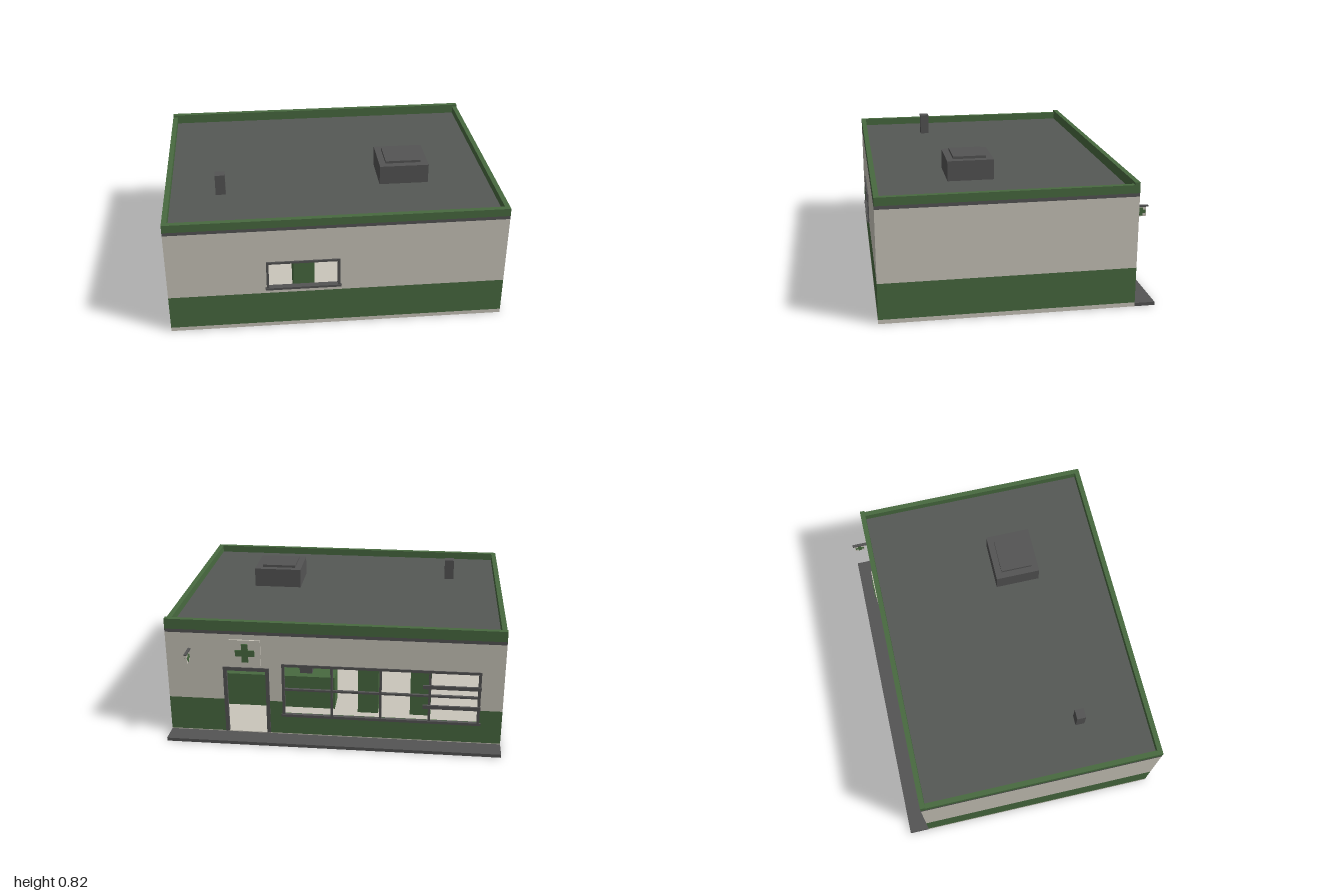
import * as THREE from 'three';

const mat = (name, hex) => {
  const m = new THREE.MeshStandardMaterial({ color: hex });
  m.name = name;
  return m;
};

export function createModel() {
  const cream = mat('cream plaster', 0xc9c5ba);
  const green = mat('green paint', 0x486a40);
  const dark = mat('dark trim', 0x545454);
  const roofGrey = mat('roof grey', 0x555855);

  const model = new THREE.Group();
  model.name = 'shopBuilding';

  // Box given by its limits along each axis
  function box(name, material, x0, x1, y0, y1, z0, z1, parent = model) {
    const mesh = new THREE.Mesh(new THREE.BoxGeometry(x1 - x0, y1 - y0, z1 - z0), material);
    mesh.position.set((x0 + x1) / 2, (y0 + y1) / 2, (z0 + z1) / 2);
    mesh.name = name;
    parent.add(mesh);
    return mesh;
  }
  function group(name) {
    const g = new THREE.Group();
    g.name = name;
    model.add(g);
    return g;
  }

  const BACK = -0.69, FRONT = 0.79, T = 0.03;
  const FLOOR = 0.025, BAND = 0.24, EAVE = 0.667, DECK = 0.69;

  // Floor and pavement
  box('floor', cream, -1, 1, 0, FLOOR, BACK, FRONT);
  box('pavement', dark, -1, 1, 0, 0.02, -0.81, BACK);

  // Wall along x with rectangular openings, green below and cream above
  function wall(name, x0, x1, z0, z1, openings) {
    const g = group(name);
    const column = (a, b, lo, hi) => {
      if (lo < BAND) box('lowerWall', green, a, b, lo, Math.min(hi, BAND), z0, z1, g);
      if (hi > BAND) box('upperWall', cream, a, b, Math.max(lo, BAND), hi, z0, z1, g);
    };
    let x = x0;
    for (const [a, b, lo, hi] of openings) {
      column(x, a, FLOOR, EAVE);
      if (lo > FLOOR) column(a, b, FLOOR, lo);
      column(a, b, hi, EAVE);
      x = b;
    }
    column(x, x1, FLOOR, EAVE);
  }
  const shopWindow = [-0.86, 0.3, 0.15, 0.48];
  const door = [0.395, 0.65, FLOOR, 0.445];
  const smallWindow = [-0.415, 0.005, 0.275, 0.45];
  wall('backWall', -1, 1, BACK, BACK + T, [shopWindow, door]);
  wall('frontWall', -1, 1, FRONT - T, FRONT, [smallWindow]);
  for (const [name, x] of [['rightWall', -1], ['leftWall', 1 - T]])
    wall(name, x, x + T, BACK + T, FRONT - T, []);

  // Roof slab and parapet
  box('roofEdge', dark, -1, 1, EAVE, DECK - 0.003, BACK, FRONT);
  box('roofDeck', roofGrey, -1 + T, 1 - T, DECK - 0.003, DECK, BACK + T, FRONT - T);
  const parapet = group('parapet');
  const P = DECK - 0.003;
  box('parapetBack', green, -1, 1, P, 0.75, BACK, BACK + T, parapet);
  box('parapetFront', green, -1, 1, P, 0.735, FRONT - T, FRONT, parapet);
  for (const x of [-1, 1 - T])
    box('parapetSide', green, x, x + T, P, 0.735, BACK + T, FRONT - T, parapet);

  // Rooftop unit and vent
  box('roofUnit', dark, 0.3, 0.6, DECK, 0.81, 0.07, 0.345);
  box('roofUnitCap', dark, 0.34, 0.555, 0.81, 0.825, 0.11, 0.305);
  box('roofVent', dark, -0.7, -0.64, DECK, 0.82, 0.33, 0.385);

  // Frame around an opening, w wide
  function frame(name, [x0, x1, y0, y1], z0, z1, w, bottom) {
    const g = group(name);
    box('jamb', dark, x0 - w / 2, x0 + w / 2, y0, y1, z0, z1, g);
    box('jamb', dark, x1 - w / 2, x1 + w / 2, y0, y1, z0, z1, g);
    box('head', dark, x0 - w / 2, x1 + w / 2, y1 - w / 2, y1 + w / 2, z0, z1, g);
    if (bottom) box('sill', dark, x0 - w, x1 + w, y0 - w / 2, y0 + w / 2, z0 - (z0 < 0 ? 0.003 : 0), z1 + (z0 > 0 ? 0.008 : 0), g);
    return g;
  }
  const zOut = BACK - 0.006, zIn = BACK + 0.012;
  frame('smallWindowFrame', smallWindow, FRONT - 0.02, FRONT + 0.008, 0.014, true);
  frame('doorFrame', door, zOut, zIn, 0.022, false);
  const shopFrame = frame('shopWindowFrame', shopWindow, zOut, zIn, 0.016, true);

  // Mullions and rails of the shop window
  for (const x of [0.01, -0.28, -0.57])
    box('mullion', dark, x - 0.007, x + 0.007, 0.15, 0.48, zOut, zIn, shopFrame);
  box('middleRail', dark, -0.86, 0.3, 0.316, 0.328, zOut + 0.001, zIn, shopFrame);
  for (const y of [0.255, 0.385])
    box('guardRail', dark, -0.87, -0.53, y - 0.011, y + 0.011, BACK - 0.017, BACK - 0.004, shopFrame);

  // Wall sign with a green cross above the door
  const sign = group('wallSign');
  box('signPanel', cream, 0.43, 0.615, 0.475, 0.635, BACK - 0.01, BACK, sign);
  box('crossUpright', green, 0.503, 0.542, 0.496, 0.612, BACK - 0.018, BACK - 0.01, sign);
  for (const x of [0.465, 0.542])
    box('crossArm', green, x, x + 0.038, 0.535, 0.573, BACK - 0.018, BACK - 0.01, sign);

  // Projecting sign hung from a bracket
  const blade = group('hangingSign');
  box('bracket', dark, 0.85, 0.866, 0.56, 0.569, -0.79, BACK, blade);
  box('hangingPanel', cream, 0.852, 0.864, 0.503, 0.56, -0.778, -0.717, blade);
  for (const x of [0.849, 0.864]) {
    box('hangingCrossUpright', green, x, x + 0.003, 0.508, 0.557, -0.757, -0.738, blade);
    for (const z of [-0.775, -0.738])
      box('hangingCrossArm', green, x, x + 0.003, 0.524, 0.542, z, z + 0.018, blade);
  }

  // Shop interior: counter, till and display shelves
  box('counter', green, 0.03, 0.74, FLOOR, 0.245, -0.35, -0.2);
  box('till', dark, 0.18, 0.26, 0.245, 0.3, -0.3, -0.24);
  for (const x of [-0.25, -0.58])
    for (const z of [-0.38, 0.33])
      box('displayShelf', green, x, x + 0.13, FLOOR, 0.35, z, z + 0.2);

  return model;
}
